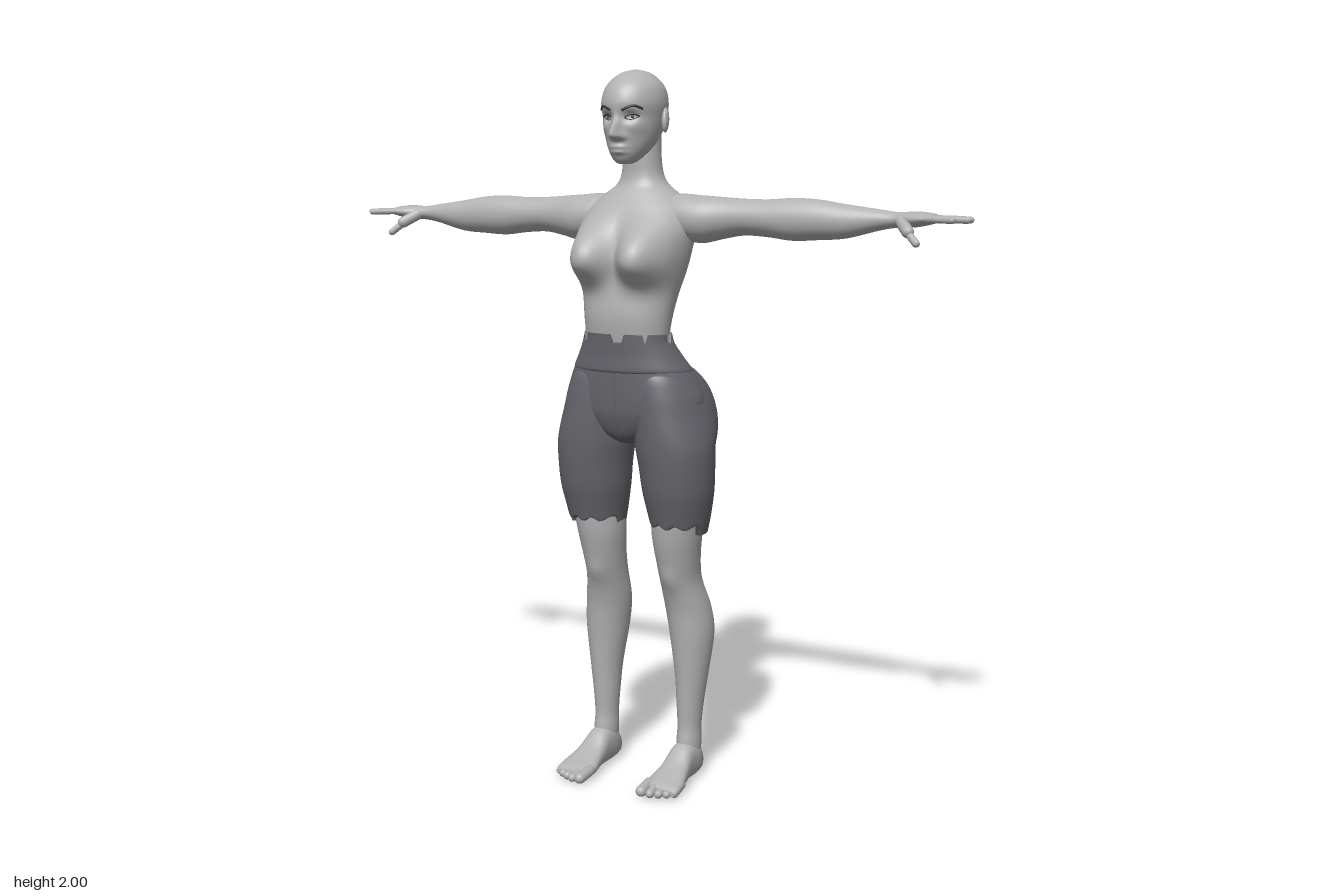
import * as THREE from 'three';

const skin = new THREE.MeshStandardMaterial({ color: 0xb2b2b2 });
skin.name = 'skin';
const cloth = new THREE.MeshStandardMaterial({ color: 0x68666d });
cloth.name = 'shorts cloth';
const hair = new THREE.MeshStandardMaterial({ color: 0x38383a });
hair.name = 'brow hair';

const bell = (d) => Math.exp(-d * d);
const AXES = { x: (t, u, v) => [t, u, v], y: (t, u, v) => [u, t, v], z: (t, u, v) => [u, v, t] };

// Catmull-Rom blend of one section column
function blend(rows, k, i, f) {
  const at = (j) => rows[Math.min(Math.max(j, 0), rows.length - 1)][k];
  const a = at(i - 1), b = at(i), c = at(i + 1), d = at(i + 2);
  return b + 0.5 * f * (c - a + f * (2 * a - 5 * b + 4 * c - d + f * (3 * (b - c) + d - a)));
}

// Smooth closed skin through sections [position, centre, half width, high side, low side]
function loft(axis, rows, { seg = 48, steps = 6, power = 2, shape } = {}) {
  const pos = [], index = [], count = (rows.length - 1) * steps;
  const p = new THREE.Vector3();
  for (let r = 0; r <= count; r++) {
    const i = Math.min(Math.floor(r / steps), rows.length - 2), f = r / steps - i;
    const [t, c, w, hi, lo] = [0, 1, 2, 3, 4].map((k) => blend(rows, k, i, f));
    for (let s = 0; s < seg; s++) {
      const a = (s / seg) * Math.PI * 2, co = Math.cos(a), si = Math.sin(a);
      const u = Math.sign(co) * Math.abs(co) ** (2 / power), v = Math.sign(si) * Math.abs(si) ** (2 / power);
      p.set(...AXES[axis](t, c + w * u, (hi + lo) / 2 + ((hi - lo) / 2) * v));
      if (shape) shape(p);
      pos.push(p.x, p.y, p.z);
    }
  }
  const tri = (a, b, c) => (axis === 'y' ? index.push(a, c, b) : index.push(a, b, c));
  for (let r = 0; r < count; r++) for (let s = 0; s < seg; s++) {
    const a = r * seg + s, b = r * seg + ((s + 1) % seg);
    tri(a, b, b + seg);
    tri(a, b + seg, a + seg);
  }
  for (const [row, end] of [[rows[0], 0], [rows[rows.length - 1], 1]]) {
    const n = pos.length / 3, base = end ? count * seg : 0;
    pos.push(...AXES[axis](row[0], row[1], (row[3] + row[4]) / 2));
    for (let s = 0; s < seg; s++) {
      const a = base + s, b = base + ((s + 1) % seg);
      end ? tri(a, b, n) : tri(b, a, n);
    }
  }
  const g = new THREE.BufferGeometry();
  g.setAttribute('position', new THREE.Float32BufferAttribute(pos, 3));
  g.setIndex(index);
  g.computeVertexNormals();
  return g;
}

function capsule(a, b, r) {
  const from = new THREE.Vector3(...a), dir = new THREE.Vector3(...b).sub(from), len = dir.length();
  const turn = new THREE.Quaternion().setFromUnitVectors(new THREE.Vector3(0, 1, 0), dir.clone().normalize());
  return new THREE.CapsuleGeometry(r, len, 5, 12).applyQuaternion(turn)
    .translate(...from.addScaledVector(dir, 0.5).toArray());
}

export function createModel() {
  const model = new THREE.Group();
  const add = (name, g, mat) => {
    const m = new THREE.Mesh(g, mat);
    m.name = name;
    model.add(m);
    return m;
  };
  // Left part plus its mirror image with corners reversed
  const pair = (name, g, mat) => {
    add('left ' + name, g, mat);
    const h = g.clone().scale(-1, 1, 1), ix = h.index.array;
    for (let i = 0; i < ix.length; i += 3) [ix[i], ix[i + 1]] = [ix[i + 1], ix[i]];
    add('right ' + name, h, mat);
  };

  // Torso and neck, with bust and spine groove
  add('torso', loft('y', [
    [1.22, 0, 0.125, 0.11, -0.045], [1.28, 0, 0.122, 0.121, -0.04], [1.34, 0, 0.128, 0.127, -0.055],
    [1.4, 0, 0.138, 0.12, -0.077], [1.46, 0, 0.152, 0.108, -0.1], [1.52, 0, 0.163, 0.1, -0.117],
    [1.58, 0, 0.168, 0.085, -0.129], [1.63, 0, 0.15, 0.06, -0.129], [1.665, 0, 0.112, 0.035, -0.12],
    [1.69, 0, 0.077, 0.016, -0.11], [1.72, 0, 0.059, 0.008, -0.099], [1.77, 0, 0.053, 0.008, -0.092],
    [1.83, 0, 0.052, 0.005, -0.09],
  ], { seg: 80, power: 2.15, shape: (p) => {
    if (p.z > 0) {
      const dy = p.y - 1.495, d = ((Math.abs(p.x) - 0.085) / 0.07) ** 2 + (dy / (dy < 0 ? 0.065 : 0.088)) ** 2;
      p.z += 0.09 * Math.exp(-(d ** 1.25)) * Math.min(1, p.z / 0.04);
    } else p.z += 0.012 * bell(p.x / 0.022) * bell((p.y - 1.45) / 0.13);
  } }), skin);

  // Head with modelled face
  const head = add('head', loft('y', [
    [1.747, 0, 0.012, 0.068, 0.045], [1.753, 0, 0.027, 0.08, 0.02], [1.77, 0, 0.044, 0.09, -0.012],
    [1.8, 0, 0.062, 0.096, -0.055], [1.835, 0, 0.074, 0.1, -0.087], [1.87, 0, 0.081, 0.102, -0.102],
    [1.91, 0, 0.086, 0.107, -0.11], [1.95, 0, 0.078, 0.092, -0.1], [1.978, 0, 0.056, 0.062, -0.076],
    [1.993, 0, 0.032, 0.032, -0.048], [2, 0, 0.004, -0.004, -0.014],
  ], { seg: 96, steps: 8, shape: (p) => {
    if (p.z < 0.03) return;
    const x = Math.abs(p.x), y = p.y;
    const ridge = y < 1.82 ? bell((y - 1.82) / 0.008) : bell((y - 1.82) / 0.04);
    p.z += 0.038 * ridge * bell(x / (0.011 + 0.006 * bell((y - 1.818) / 0.014)));
    p.z -= 0.013 * bell((x - 0.035) / 0.018) * bell((y - 1.872) / 0.013);
    p.z += 0.008 * bell(x / 0.022) * (bell((y - 1.792) / 0.006) + bell((y - 1.779) / 0.006));
    p.z += 0.005 * bell((x - 0.048) / 0.02) * bell((y - 1.845) / 0.018);
  } }), skin);
  pair('ear', new THREE.SphereGeometry(1, 20, 14).scale(0.01, 0.034, 0.019)
    .rotateX(-0.2).rotateY(0.3).translate(0.087, 1.865, -0.013), skin);

  // Brows and lash lines laid on the face
  const ray = new THREE.Raycaster();
  const onFace = (x, y) => {
    ray.set(new THREE.Vector3(x, y, 1), new THREE.Vector3(0, 0, -1));
    return ray.intersectObject(head)[0].point;
  };
  const line = (pts, r) => new THREE.TubeGeometry(
    new THREE.CatmullRomCurve3(pts.map(([x, y]) => onFace(x, y))), 16, r, 6);
  pair('eyebrow', line([[0.016, 1.888], [0.03, 1.895], [0.047, 1.9], [0.063, 1.892]], 0.0035), hair);
  pair('upper lash', line([[0.019, 1.869], [0.028, 1.877], [0.042, 1.879], [0.055, 1.873]], 0.0028), hair);
  pair('lower lash', line([[0.021, 1.867], [0.035, 1.864], [0.052, 1.871]], 0.0012), hair);
  pair('iris', new THREE.SphereGeometry(0.0055, 12, 8).scale(1, 1, 0.4)
    .translate(...onFace(0.036, 1.871).toArray()), hair);

  // Arms and hands
  pair('arm', loft('x', [
    [0.06, 1.61, 0.045, 0.01, -0.1], [0.12, 1.606, 0.062, 0.025, -0.108], [0.19, 1.6, 0.064, 0.026, -0.107],
    [0.25, 1.604, 0.056, 0.012, -0.102], [0.31, 1.607, 0.049, 0.005, -0.1], [0.38, 1.605, 0.05, 0.003, -0.099],
    [0.45, 1.603, 0.056, 0.002, -0.098], [0.52, 1.603, 0.053, -0.002, -0.096], [0.6, 1.6, 0.044, -0.01, -0.09],
    [0.69, 1.605, 0.027, -0.022, -0.084], [0.74, 1.606, 0.02, -0.024, -0.082], [0.79, 1.608, 0.02, -0.007, -0.093],
    [0.83, 1.61, 0.014, -0.002, -0.097], [0.845, 1.61, 0.007, -0.008, -0.09],
  ]), skin);
  [[-0.012, 0.898, 0.004], [-0.036, 0.927, -0.032], [-0.061, 0.925, -0.064], [-0.085, 0.9, -0.095]].forEach(([z, x, tip], i) =>
    pair('finger ' + (i + 1), capsule([0.82, 1.61, z], [x, 1.608, tip], 0.0088), skin));
  pair('thumb base', capsule([0.755, 1.602, -0.03], [0.785, 1.578, 0.005], 0.016), skin);
  pair('thumb', capsule([0.78, 1.58, 0.002], [0.813, 1.55, 0.022], 0.01), skin);

  // Legs
  pair('leg', loft('y', [
    [0.04, 0.137, 0.03, -0.04, -0.115], [0.1, 0.137, 0.034, -0.033, -0.12], [0.15, 0.137, 0.033, -0.038, -0.12],
    [0.22, 0.138, 0.038, -0.035, -0.127], [0.3, 0.14, 0.046, -0.03, -0.14], [0.42, 0.138, 0.062, -0.02, -0.161],
    [0.5, 0.13, 0.064, -0.01, -0.154], [0.58, 0.121, 0.057, 0.013, -0.126], [0.64, 0.12, 0.06, 0.032, -0.11],
    [0.72, 0.122, 0.07, 0.05, -0.1], [0.82, 0.13, 0.08, 0.06, -0.1],
  ], { shape: (p) => {
    if (p.z > -0.05) p.z += 0.007 * bell((p.x - 0.118) / 0.03) * bell((p.y - 0.595) / 0.03);
  } }), skin);

  // Feet and toes
  pair('foot', loft('z', [
    [-0.13, 0.135, 0.01, 0.04, 0.02], [-0.12, 0.136, 0.026, 0.065, 0.007], [-0.085, 0.137, 0.036, 0.105, 0],
    [-0.03, 0.137, 0.038, 0.105, 0], [0.02, 0.139, 0.044, 0.07, 0.002], [0.07, 0.141, 0.054, 0.048, 0],
    [0.105, 0.142, 0.055, 0.036, 0], [0.122, 0.142, 0.05, 0.026, 0.005],
  ], { power: 2.4 }), skin);
  [[0.1, 0.144, 0.016], [0.126, 0.142, 0.0125], [0.148, 0.133, 0.012], [0.168, 0.122, 0.0115], [0.186, 0.108, 0.011]].forEach(([x, z, r], i) =>
    pair('toe ' + (i + 1), capsule([x - 0.002, 0.024, z - 0.05], [x, r + 0.002, z], r), skin));

  // Shorts: hips, thighs with torn hems, waistband with torn front edge
  add('shorts hips', loft('y', [
    [0.985, 0, 0.04, 0.06, -0.07], [1.01, 0, 0.1, 0.088, -0.09], [1.06, 0, 0.185, 0.108, -0.115],
    [1.1, 0, 0.21, 0.114, -0.128], [1.15, 0, 0.196, 0.117, -0.125], [1.2, 0, 0.17, 0.118, -0.092],
  ], { seg: 72, power: 2.1 }), cloth);
  pair('shorts leg', loft('y', [
    [0.73, 0.131, 0.077, 0.06, -0.106], [0.78, 0.132, 0.087, 0.072, -0.112], [0.85, 0.132, 0.1, 0.091, -0.114],
    [0.92, 0.13, 0.106, 0.102, -0.115], [0.975, 0.125, 0.111, 0.108, -0.119], [1.02, 0.118, 0.114, 0.11, -0.151],
    [1.07, 0.109, 0.112, 0.11, -0.171], [1.13, 0.1, 0.103, 0.108, -0.158], [1.18, 0.09, 0.085, 0.1, -0.115],
    [1.21, 0.08, 0.055, 0.07, -0.07],
  ], { seg: 64, shape: (p) => {
    const tear = p.z > 0.005 ? 0.757 + 0.006 * Math.sin(p.x * 130) : 0.732 + 0.02 * bell((p.x - 0.17) / 0.012);
    p.y = Math.max(p.y, tear);
  } }), cloth);
  add('waistband', loft('y', [
    [1.187, 0, 0.174, 0.119, -0.098], [1.195, 0, 0.175, 0.123, -0.099], [1.23, 0, 0.154, 0.123, -0.075],
    [1.265, 0, 0.136, 0.125, -0.053], [1.295, 0, 0.129, 0.127, -0.047],
  ], { seg: 120, shape: (p) => {
    const bite = p.z > 0.02 && Math.sin(p.x * 95) + Math.sin(p.x * 57 + 1) > 0.5;
    p.y = Math.min(p.y, bite ? 1.268 : 1.292);
  } }), cloth);
  // Front seam
  add('front seam', new THREE.TubeGeometry(new THREE.CatmullRomCurve3([[1.19, 0.117], [1.12, 0.1145], [1.06, 0.1065], [1.01, 0.087]]
    .map(([y, z]) => new THREE.Vector3(0, y, z))), 16, 0.003, 6), cloth);
  return model;
}
